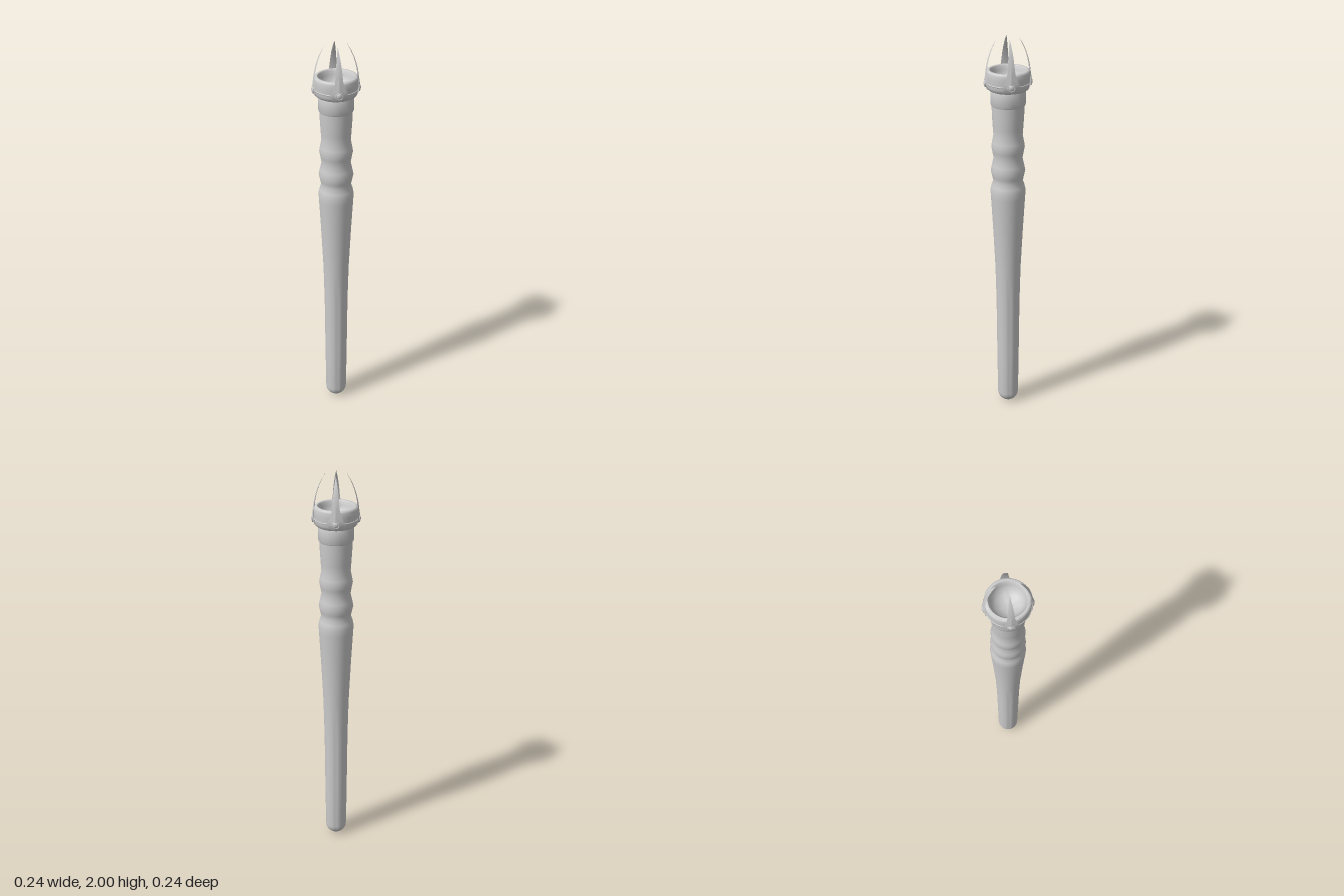
import * as THREE from 'three';
import { toCreasedNormals } from 'three/addons/utils/BufferGeometryUtils.js';

const material = new THREE.MeshStandardMaterial({ color: 0xcccccc, side: THREE.DoubleSide });

function part(name, geometry, parent) {
  const mesh = new THREE.Mesh(geometry, material);
  mesh.name = name;
  parent.add(mesh);
  return mesh;
}

// Turned part from [radius, height] pairs, listed from bottom to top
function turned(name, profile, parent, crease = 0.6) {
  const points = profile.map(([r, y]) => new THREE.Vector2(r, y));
  return part(name, toCreasedNormals(new THREE.LatheGeometry(points, 40), crease), parent);
}

// Curved prong: ridged cross-sections of [height, radius, half width, thickness]
function clawGeometry() {
  const sections = [
    [1.752, 0.104, 0.022, 0.005],
    [1.768, 0.112, 0.036, 0.008],
    [1.782, 0.116, 0.044, 0.009],
    [1.800, 0.115, 0.036, 0.009],
    [1.822, 0.112, 0.026, 0.008],
    [1.845, 0.109, 0.020, 0.007],
    [1.870, 0.105, 0.017, 0.006],
    [1.900, 0.098, 0.0145, 0.005],
    [1.935, 0.087, 0.011, 0.004],
    [1.970, 0.071, 0.006, 0.003],
    [2.000, 0.053, 0.0004, 0.0005],
  ];
  const positions = [], index = [];
  sections.forEach(([y, r, w, t], i) => {
    // The edges bend back around the head
    const edge = Math.sqrt(r * r - w * w) - t * 0.35;
    positions.push(-w, y, edge, 0, y, r, w, y, edge, 0, y, r - t);
    if (i === 0) return;
    const a = (i - 1) * 4, b = i * 4;
    for (let k = 0; k < 4; k++) {
      const n = (k + 1) % 4;
      index.push(a + k, a + n, b + n, a + k, b + n, b + k);
    }
  });
  const last = (sections.length - 1) * 4;
  index.push(0, 2, 1, 0, 3, 2, last, last + 1, last + 2, last, last + 2, last + 3);
  const geometry = new THREE.BufferGeometry();
  geometry.setAttribute('position', new THREE.Float32BufferAttribute(positions, 3));
  geometry.setIndex(index);
  return toCreasedNormals(geometry, 0.4);
}

export function createModel() {
  const group = new THREE.Group();
  group.name = 'wand';

  // Tapered handle with a round foot and swelling grip rings
  const foot = [];
  for (let i = 0; i <= 8; i++) {
    const a = (i / 8) * Math.PI / 2;
    foot.push([0.054 * Math.sin(a), 0.054 - 0.054 * Math.cos(a)]);
  }
  turned('shaft', [
    ...foot, [0.057, 0.3], [0.06, 0.6], [0.065, 0.8], [0.076, 1.02], [0.086, 1.19], [0.088, 1.225],
    [0.083, 1.25], [0.074, 1.275], [0.079, 1.30], [0.086, 1.33], [0.08, 1.36], [0.072, 1.395],
    [0.078, 1.43], [0.083, 1.455], [0.079, 1.48], [0.072, 1.515], [0.075, 1.555], [0.079, 1.62],
    [0.08, 1.68],
  ], group, 0.8);

  // Collar under the head
  turned('collar', [
    [0.074, 1.668], [0.083, 1.668], [0.086, 1.674], [0.086, 1.738], [0.083, 1.746], [0.07, 1.75],
  ], group);

  // Cup-shaped head with a hollow bowl
  turned('head', [
    [0.07, 1.745], [0.092, 1.746], [0.1, 1.752], [0.104, 1.766], [0.106, 1.785], [0.107, 1.81],
    [0.107, 1.834], [0.104, 1.842], [0.098, 1.846], [0.09, 1.845], [0.085, 1.838], [0.082, 1.82],
    [0.073, 1.797], [0.056, 1.777], [0.03, 1.764], [0, 1.76],
  ], group, 0.8);

  // Thin raised band around the head
  const band = part('band', new THREE.TorusGeometry(0.1055, 0.0035, 8, 48), group);
  band.rotation.x = Math.PI / 2;
  band.position.y = 1.782;

  // Four claws, each with a round stud in a small ring at its base
  const claw = clawGeometry();
  for (let i = 0; i < 4; i++) {
    const prong = new THREE.Group();
    prong.name = 'prong' + (i + 1);
    prong.rotation.y = i * Math.PI / 2;
    part('claw', claw, prong);
    const stud = part('stud', new THREE.SphereGeometry(0.015, 16, 12), prong);
    stud.position.set(0, 1.782, 0.112);
    stud.scale.z = 0.5;
    const ring = part('studRing', new THREE.TorusGeometry(0.017, 0.003, 8, 24), prong);
    ring.position.set(0, 1.782, 0.112);
    group.add(prong);
  }
  return group;
}
